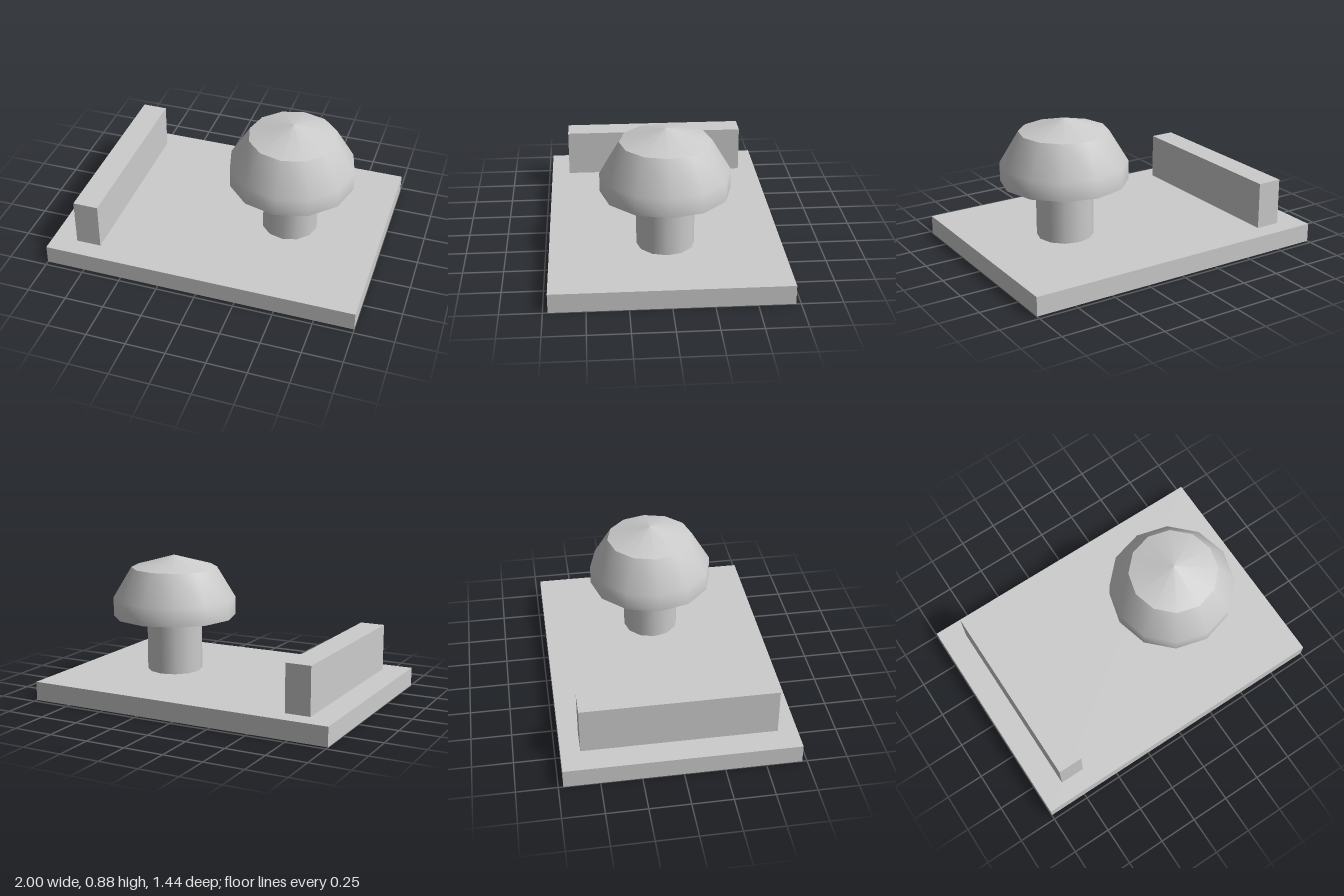
import * as THREE from 'three';

export function createModel() {
  const model = new THREE.Group();
  const grey = new THREE.MeshStandardMaterial({ color: 0xcccccc });
  grey.name = 'light grey';

  function add(name, geometry, x, y, z, parent = model) {
    const mesh = new THREE.Mesh(geometry, grey);
    mesh.name = name;
    mesh.position.set(x, y, z);
    parent.add(mesh);
    return mesh;
  }

  // Twelve-sided turned surface from [radius, height] points, bottom to top
  const turned = (points) =>
    new THREE.LatheGeometry(points.map(([r, h]) => new THREE.Vector2(r, h)), 12);

  // Base plate with an upright rail along its right side
  add('basePlate', new THREE.BoxGeometry(2, 0.12, 1.44), 0, 0.06, 0);
  add('rail', new THREE.BoxGeometry(0.16, 0.3, 1.2), -0.76, 0.27, 0);

  // Knob: a stem carrying a wide cap, with sharp edges between its sections
  const knob = new THREE.Group();
  knob.name = 'knob';
  knob.position.set(0.4, 0, 0);
  model.add(knob);
  add('stem', new THREE.CylinderGeometry(0.18, 0.18, 0.36, 12), 0, 0.3, 0, knob);
  add('capUnderside', turned([[0, 0.48], [0.4, 0.48]]), 0, 0, 0, knob);
  add('capSide', turned([[0.4, 0.48], [0.4, 0.6], [0.28, 0.8]]), 0, 0, 0, knob);
  add('capTop', turned([[0.28, 0.8], [0, 0.88]]), 0, 0, 0, knob);

  return model;
}
